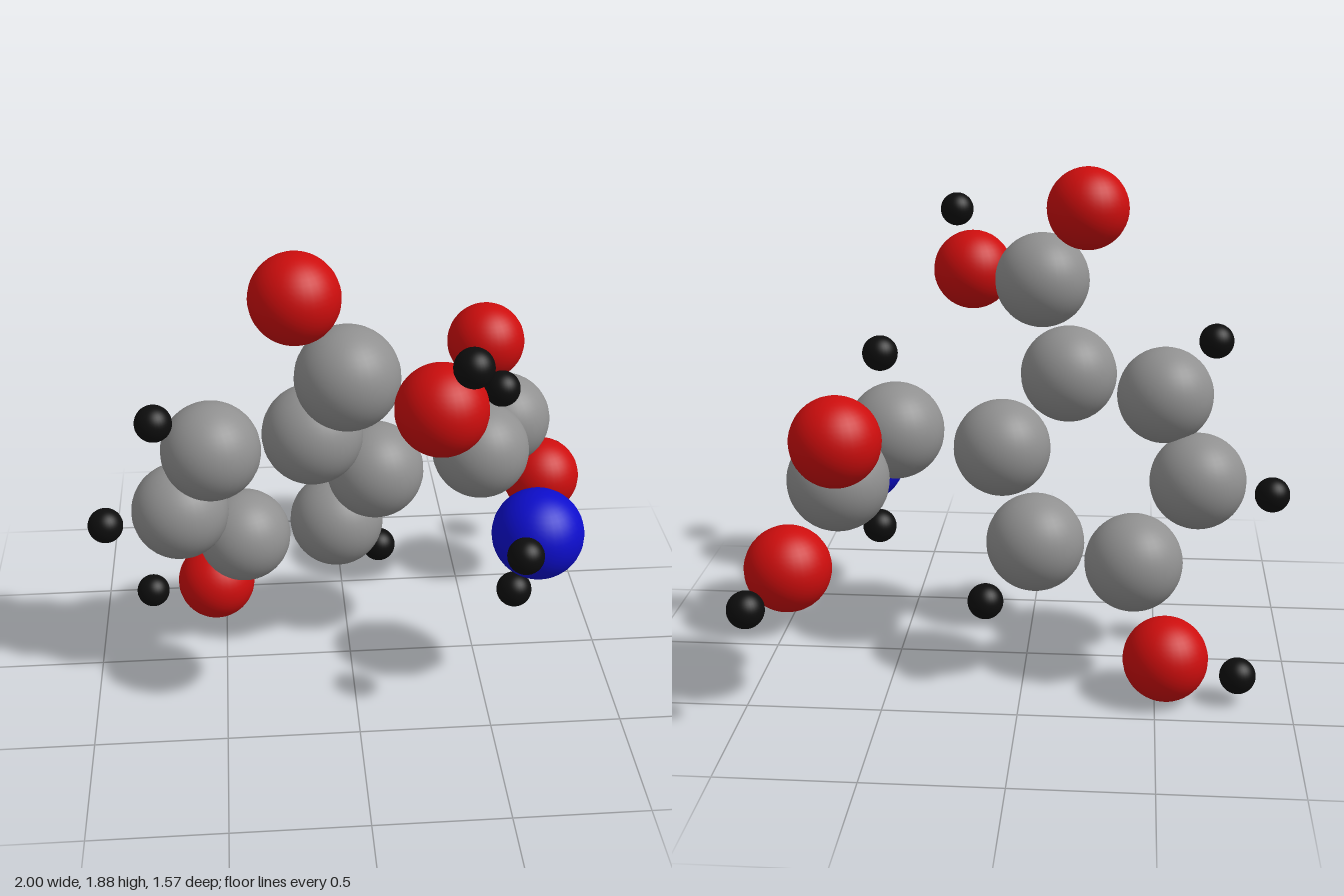
import * as THREE from 'three';

// Atom kinds: radius and colour
const KINDS = {
  carbon: { radius: 0.184, color: 0x909090 },
  nitrogen: { radius: 0.172, color: 0x0d0dcc },
  oxygen: { radius: 0.158, color: 0xcc0d0d },
  hydrogen: { radius: 0.067, color: 0x0d0d0d },
};

// Atom centres, grouped by the part of the molecule they belong to
const PARTS = {
  ring: [
    ['carbon', -0.15, 1.115, 0.155],
    ['carbon', -0.52, 1.045, 0.13],
    ['carbon', -0.65, 0.735, 0.035],
    ['carbon', -0.412, 0.481, -0.172],
    ['carbon', -0.043, 0.547, -0.158],
    ['carbon', 0.094, 0.864, 0],
    ['hydrogen', -0.713, 1.23, 0.246],
    ['hydrogen', -0.935, 0.684, 0.04],
    ['hydrogen', 0.136, 0.346, -0.265],
  ],
  hydroxyl: [
    ['oxygen', -0.537, 0.162, -0.323],
    ['hydrogen', -0.804, 0.11, -0.34],
  ],
  upperAcid: [
    ['carbon', -0.036, 1.437, 0.347],
    ['oxygen', -0.211, 1.723, 0.316],
    ['oxygen', 0.259, 1.425, 0.578],
    ['hydrogen', 0.337, 1.645, 0.715],
  ],
  amineBranch: [
    ['carbon', 0.497, 0.927, -0.01],
    ['hydrogen', 0.558, 1.213, 0.043],
    ['nitrogen', 0.682, 0.711, 0.257],
    ['hydrogen', 0.588, 0.785, 0.513],
    ['hydrogen', 0.612, 0.44, 0.226],
  ],
  sideAcid: [
    ['carbon', 0.65, 0.856, -0.378],
    ['oxygen', 0.605, 1.084, -0.625],
    ['oxygen', 0.832, 0.538, -0.45],
    ['hydrogen', 0.929, 0.486, -0.698],
  ],
};

export function createModel() {
  const model = new THREE.Group();
  model.name = 'molecule';

  // One shared smooth sphere and material per kind
  const shared = {};
  for (const [kind, { radius, color }] of Object.entries(KINDS)) {
    shared[kind] = {
      geometry: new THREE.SphereGeometry(radius, 32, 24),
      material: new THREE.MeshStandardMaterial({ color }),
    };
  }

  for (const [partName, atoms] of Object.entries(PARTS)) {
    const part = new THREE.Group();
    part.name = partName;
    for (const [kind, x, y, z] of atoms) {
      const atom = new THREE.Mesh(shared[kind].geometry, shared[kind].material);
      atom.name = kind + 'Atom';
      atom.position.set(x, y, z);
      part.add(atom);
    }
    model.add(part);
  }
  return model;
}
